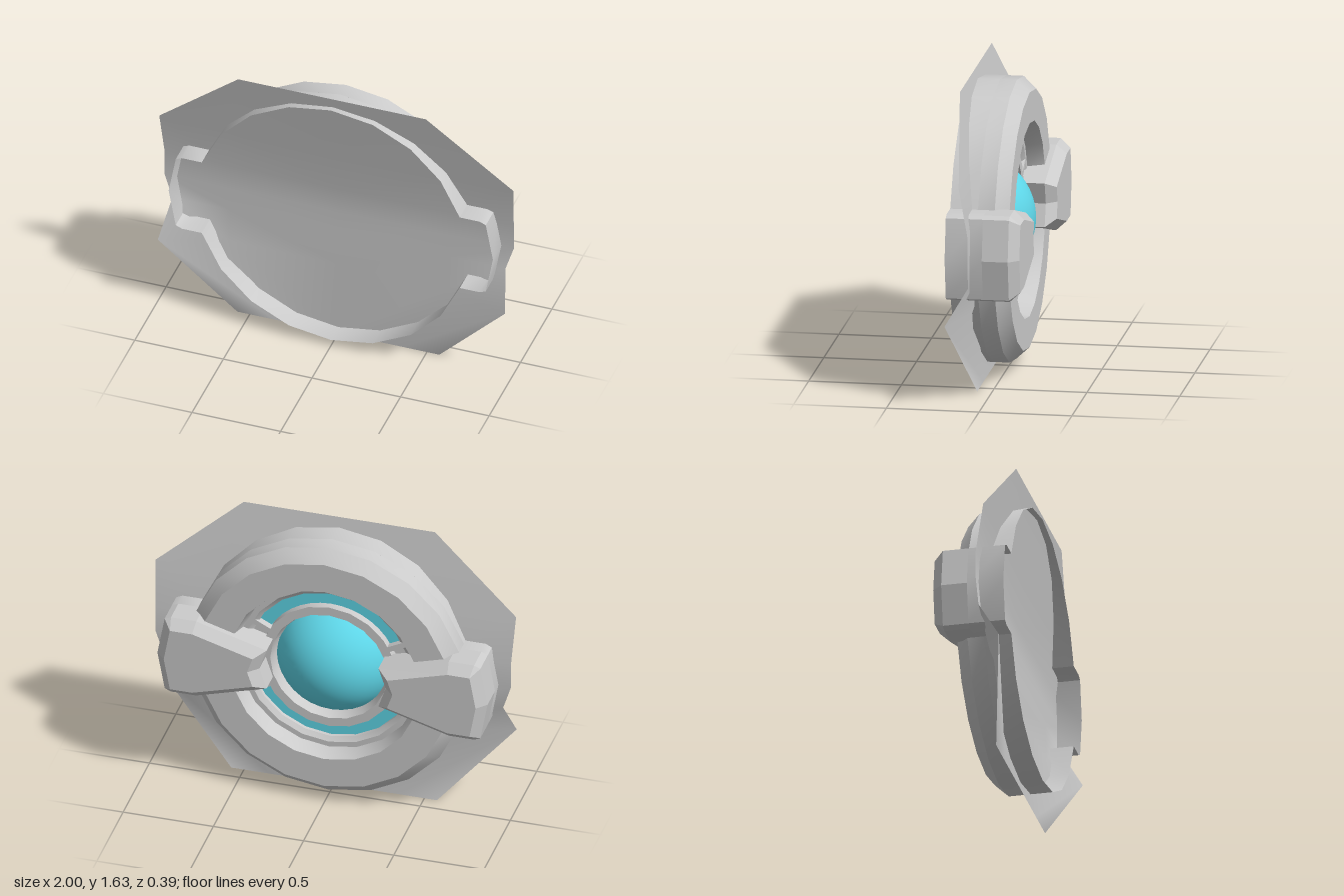
import * as THREE from 'three';
import { toCreasedNormals } from 'three/addons/utils/BufferGeometryUtils.js';

const CY = 0.805; // height of the hub axis

const grey = new THREE.MeshStandardMaterial({ color: 0xcccccc, side: THREE.DoubleSide });
const cyan = new THREE.MeshStandardMaterial({ color: 0x5fd8ea, side: THREE.DoubleSide });

// Grid of rows of [x, y, z] points, joined into a sheet; flip(c) picks the diagonal
function sheet(rows, flip = () => false) {
  const n = rows[0].length, index = [];
  for (let r = 0; r < rows.length - 1; r++) {
    for (let c = 0; c < n - 1; c++) {
      const a = r * n + c, b = a + 1, d = a + n, e = d + 1;
      if (flip(c)) index.push(a, d, b, b, d, e);
      else index.push(a, d, e, a, e, b);
    }
  }
  const g = new THREE.BufferGeometry();
  g.setAttribute('position', new THREE.Float32BufferAttribute(rows.flat(2), 3));
  g.setIndex(index);
  g.computeVertexNormals();
  return g;
}

// Turned part on the z axis; profile is [radius, z]
function turned(profile, segments, start = 0, length = Math.PI * 2) {
  const pts = profile.map(([r, z]) => new THREE.Vector2(r, -z));
  const g = new THREE.LatheGeometry(pts, segments, start, length).rotateX(-Math.PI / 2);
  return toCreasedNormals(g, 0.5);
}

export function createModel() {
  const model = new THREE.Group();
  const hub = new THREE.Group();
  hub.name = 'hub';
  hub.position.y = CY;
  model.add(hub);
  const add = (name, geometry, material = grey, parent = hub) => {
    const mesh = new THREE.Mesh(geometry, material);
    mesh.name = name;
    parent.add(mesh);
    return mesh;
  };

  // Bent front plate: y, half width, inner half width, centre z, edge z
  const plateRows = [
    [1.63, 0.53, 0.40, 0.18, 0.18],
    [1.22, 1.00, 0.62, 0.11, 0.11],
    [0.95, 0.985, 0.62, 0.068, 0.065],
    [0.80, 0.985, 0.62, 0.065, 0.065],
    [0.66, 0.94, 0.62, 0.07, 0.07],
    [0.455, 0.98, 0.62, 0.075, 0.19],
    [0.00, 0.57, 0.36, 0.08, 0.08],
  ].map(([y, w, i, zc, ze]) =>
    [[-w, y, ze], [-i, y, zc], [0, y, zc], [i, y, zc], [w, y, ze]]);
  add('frontPlate', sheet(plateRows, (c) => c >= 2), grey, model);

  // Ring housing with bevelled back, stepped bore and collar around the dome
  add('ringHousing', turned([
    [0.765, 0.05], [0.765, -0.04], [0.70, -0.11], [0.53, -0.11], [0.505, -0.02],
    [0.475, -0.02], [0.45, 0.0], [0.45, 0.03], [0.375, 0.03], [0.375, -0.02],
    [0.325, -0.02], [0.305, 0.045],
  ], 20));

  // Rim arcs that stand proud of the plate, above and below
  const arc = Math.acos(0.235 / 0.765);
  for (const [name, mid] of [['upperRim', 0], ['lowerRim', Math.PI]]) {
    add(name, turned([[0.765, 0.2], [0.765, 0.05]], 8, mid - arc, 2 * arc));
  }

  // Centre dome
  add('dome', new THREE.SphereGeometry(0.35, 32, 12, 0, Math.PI * 2, 0, 1.09)
    .rotateX(-Math.PI / 2).translate(0, 0, 0.21), cyan);

  // Light strips with end blocks
  const span = 1.1;
  for (const side of [1, -1]) {
    add('lightStrip', new THREE.RingGeometry(0.375, 0.45, 14, 1, side * Math.PI / 2 - span, 2 * span)
      .rotateY(Math.PI).translate(0, 0, 0.02), cyan);
    for (const end of [1, -1]) {
      const a = side * Math.PI / 2 + end * span;
      const block = add('stripEnd', new THREE.BoxGeometry(0.11, 0.03, 0.05));
      block.position.set(0.42 * Math.cos(a), 0.42 * Math.sin(a), 0.005);
      block.rotation.z = a;
    }
  }

  // Side clamps: tapered bevelled arms, with a wall reaching forward through the plate
  const outer = [[0.70, 0.235], [0.84, 0.235], [0.875, 0.22], [0.915, 0],
    [0.875, -0.22], [0.84, -0.235], [0.70, -0.235]];
  const outline = [...outer, [0.31, -0.12], [0.35, 0], [0.31, 0.12]].reverse();
  for (const [name, turn] of [['leftClamp', 0], ['rightClamp', Math.PI]]) {
    const clamp = new THREE.Group();
    clamp.name = name;
    clamp.rotation.z = turn;
    hub.add(clamp);
    const shape = new THREE.Shape(outline.map(([x, y]) => new THREE.Vector2(x, y)));
    add('clampArm', new THREE.ExtrudeGeometry(shape, {
      depth: 0.14, bevelSize: 0.05, bevelOffset: -0.05, bevelThickness: 0.055, bevelSegments: 1,
    }).translate(0, 0, -0.14), grey, clamp);
    const wall = outer.map(([x, y]) => [Math.max(x, 0.728), y]);
    const strip = sheet([0, 0.2].map((z) => wall.map(([x, y]) => [x, y, z])));
    add('clampWall', toCreasedNormals(strip, 0.5), grey, clamp);
  }
  return model;
}
